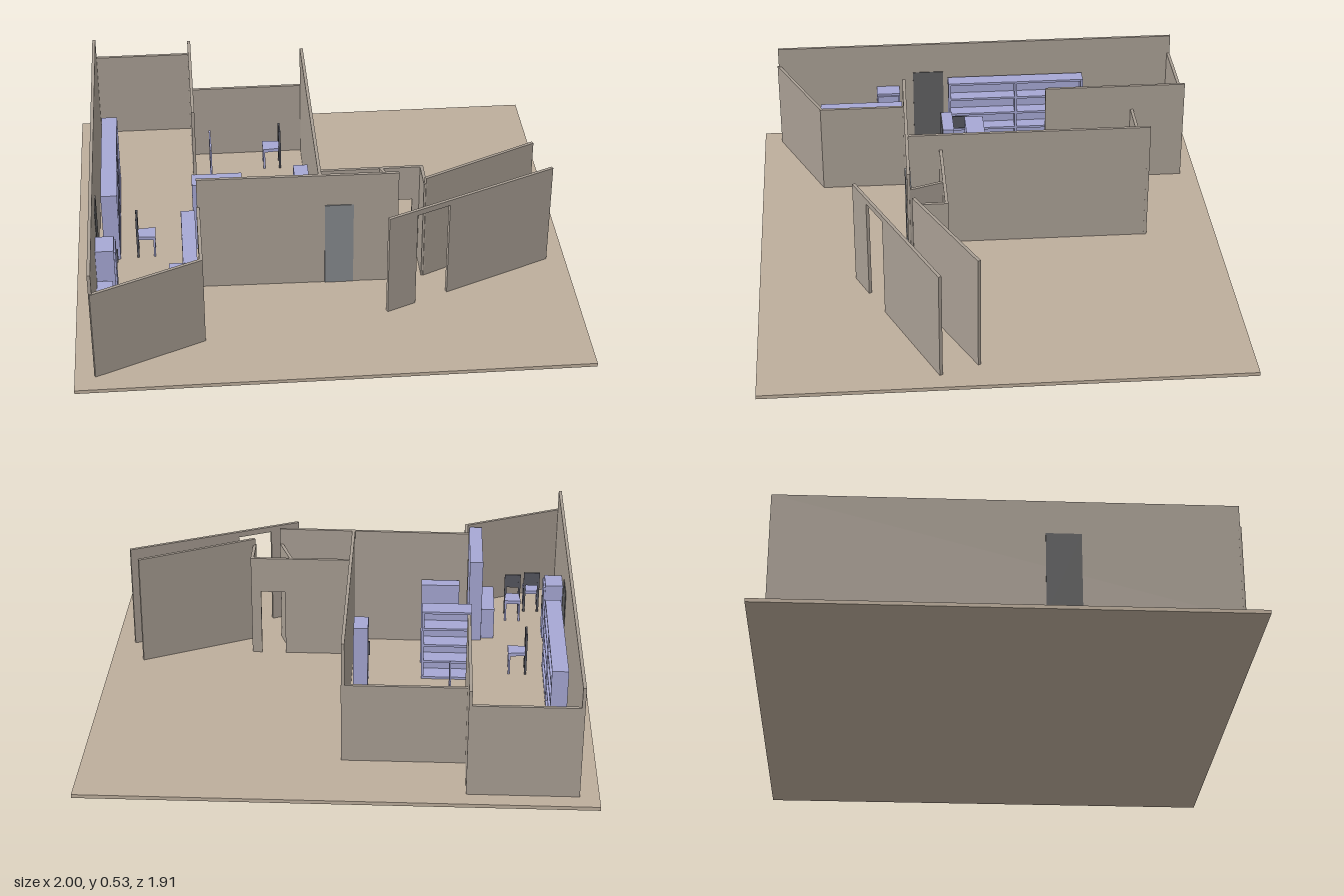
import * as THREE from 'three';

const FLOOR = 0.015;
const mat = (color) => new THREE.MeshStandardMaterial({ color });
const wallMat = mat(0xa99f94), floorMat = mat(0xbdae9c), blueMat = mat(0xa6a8d4);
const darkMat = mat(0x55565f), doorMat = mat(0x85888c), darkDoorMat = mat(0x5f5f60);

// Box given by its lower and upper limits
function box(parent, name, [x0, x1], [y0, y1], [z0, z1], material = blueMat) {
  const m = new THREE.Mesh(new THREE.BoxGeometry(x1 - x0, y1 - y0, z1 - z0), material);
  m.name = name;
  m.position.set((x0 + x1) / 2, (y0 + y1) / 2, (z0 + z1) / 2);
  parent.add(m);
  return m;
}

// Thin wall between two floor points, with an optional doorway [start, end, top]
function wall(parent, name, x0, z0, x1, z1, top, doorway) {
  const T = 0.013, len = Math.hypot(x1 - x0, z1 - z0);
  const s = new THREE.Shape();
  s.moveTo(0, FLOOR);
  if (doorway) {
    const [a, b, h] = doorway;
    s.lineTo(a, FLOOR);
    s.lineTo(a, h);
    s.lineTo(b, h);
    s.lineTo(b, FLOOR);
  }
  s.lineTo(len, FLOOR);
  s.lineTo(len, top);
  s.lineTo(0, top);
  s.closePath();
  const g = new THREE.ExtrudeGeometry(s, { depth: T, bevelEnabled: false });
  g.translate(0, 0, -T / 2);
  const m = new THREE.Mesh(g, wallMat);
  m.name = name;
  m.position.set(x0, 0, z0);
  m.rotation.y = Math.atan2(z0 - z1, x1 - x0);
  parent.add(m);
}

// Open bookshelf, width along local x, open towards local +z
function bookshelf(name, w, d, h, levels, bays) {
  const g = new THREE.Group(), t = 0.01;
  g.name = name;
  box(g, 'shelfBack', [-w / 2, w / 2], [0, h], [-d / 2, -d / 2 + 0.006]);
  for (let i = 0; i <= bays; i++) {
    const x = -w / 2 + (i * (w - t)) / bays;
    box(g, 'shelfUpright', [x, x + t], [0, h], [-d / 2, d / 2]);
  }
  for (let i = 0; i <= levels; i++) {
    const y = (i * (h - t)) / levels;
    box(g, 'shelfBoard', [-w / 2, w / 2], [y, y + t], [-d / 2, d / 2 - 0.001]);
  }
  return g;
}

// Chair facing local +z: tapered seat, four legs, dark posts and a back panel
function chair() {
  const g = new THREE.Group();
  g.name = 'chair';
  const seat = box(g, 'seat', [-0.036, 0.036], [0.085, 0.1], [-0.035, 0.038]);
  const p = seat.geometry.attributes.position;
  for (let i = 0; i < p.count; i++) if (p.getZ(i) < 0) p.setX(i, p.getX(i) * 0.8);
  for (const s of [-1, 1]) {
    const x = s * 0.03;
    box(g, 'frontLeg', [x - 0.004, x + 0.004], [0, 0.085], [0.028, 0.036]);
    box(g, 'backPost', [x - 0.005, x + 0.005], [0, 0.19], [-0.041, -0.032], darkMat);
  }
  box(g, 'backPanel', [-0.034, 0.034], [0.13, 0.19], [-0.04, -0.034], darkMat);
  return g;
}

// Desk with a top, two end panels and a rear panel on the side given by x
function desk(parent, [x0, x1], [z0, z1], rearX) {
  const g = new THREE.Group(), h = FLOOR + 0.14;
  g.name = 'desk';
  box(g, 'deskTop', [x0, x1], [h - 0.012, h], [z0, z1]);
  box(g, 'deskEnd', [x0, x1], [FLOOR, h - 0.012], [z0, z0 + 0.01]);
  box(g, 'deskEnd', [x0, x1], [FLOOR, h - 0.012], [z1 - 0.01, z1]);
  box(g, 'deskRear', [rearX, rearX + 0.006], [FLOOR + 0.04, h - 0.012], [z0 + 0.01, z1 - 0.01]);
  parent.add(g);
}

function place(parent, item, x, z, angle) {
  item.position.set(x, FLOOR, z);
  item.rotation.y = angle;
  parent.add(item);
}

export function createModel() {
  const model = new THREE.Group();
  model.name = 'floorPlan';
  box(model, 'floor', [-1, 1], [0, FLOOR], [-0.955, 0.955], floorMat);

  // Walls
  const walls = new THREE.Group();
  walls.name = 'walls';
  model.add(walls);
  wall(walls, 'westWall', -0.918, 0.873, -0.918, -0.886, 0.488);
  wall(walls, 'northWall', -0.924, -0.88, -0.495, -0.88, 0.402);
  wall(walls, 'partitionWall', -0.501, -0.886, -0.501, -0.28, 0.464);
  wall(walls, 'backWall', -0.5, -0.658, -0.01, -0.658, 0.35);
  wall(walls, 'eastWall', -0.017, -0.664, -0.019, 0.335, 0.53);
  wall(walls, 'middleWall', -0.505, 0.329, 0.293, 0.343, 0.53);
  wall(walls, 'southEastWall', -0.501, 0.33, -0.501, 0.69, 0.402);
  wall(walls, 'southWall', -0.922, 0.873, -0.498, 0.685, 0.402);
  wall(walls, 'porchBackWall', -0.02, 0.199, 0.405, 0.199, 0.46, [0.285, 0.386, 0.305]);
  wall(walls, 'porchSlantWall', 0.237, 0.2, 0.288, 0.342, 0.46);
  wall(walls, 'porchSideWall', 0.401, 0.196, 0.401, 0.332, 0.46);
  wall(walls, 'passageWall', 0.4, 0.328, 0.866, 0.105, 0.488);
  wall(walls, 'entranceWall', 0.23, 0.559, 0.922, 0.255, 0.461, [0.127, 0.274, 0.437]);

  // Door leaves, standing slightly proud of both wall faces
  box(model, 'middleDoor', [0, 0.115], [FLOOR, 0.39], [0.327, 0.349], doorMat);
  box(model, 'westDoor', [-0.928, -0.908], [FLOOR, 0.35], [0.14, 0.275], darkDoorMat);

  // Bookshelves
  place(model, bookshelf('longBookshelf', 0.605, 0.066, 0.315, 4, 2), -0.857, -0.182, Math.PI / 2);
  place(model, bookshelf('middleBookshelf', 0.205, 0.08, 0.315, 4, 1), -0.417, 0.03, Math.PI);
  place(model, bookshelf('tallBookshelf', 0.35, 0.056, 0.375, 4, 2), -0.542, 0.513, -Math.PI / 2);

  // Cabinets with dark panels
  box(model, 'middleCabinet', [-0.467, -0.31], [FLOOR, 0.385], [0.127, 0.172]);
  box(model, 'middleCabinetBack', [-0.467, -0.31], [FLOOR, 0.385], [0.172, 0.177], darkMat);
  box(model, 'eastCabinet', [-0.095, -0.035], [FLOOR, 0.295], [-0.1, 0.004]);
  box(model, 'eastCabinetHandle', [-0.103, -0.095], [0.17, 0.23], [-0.094, -0.086], darkMat);
  box(model, 'westCabinet', [-0.912, -0.838], [FLOOR, 0.285], [0.338, 0.44]);
  box(model, 'westCabinetDoor', [-0.838, -0.831], [FLOOR + 0.015, 0.275], [0.343, 0.435]);
  box(model, 'westCabinetHandle', [-0.831, -0.825], [0.17, 0.23], [0.35, 0.358], darkMat);

  // Desks and the thin upright board
  desk(model, [-0.911, -0.848], [0.458, 0.678], -0.911);
  desk(model, [-0.625, -0.571], [0.36, 0.578], -0.578);
  box(model, 'board', [-0.434, -0.427], [FLOOR, 0.26], [-0.458, -0.295]);

  // Chairs
  place(model, chair(), -0.161, -0.545, -Math.PI / 2);
  place(model, chair(), -0.715, 0.08, Math.PI / 2);
  place(model, chair(), -0.71, 0.56, Math.PI);
  place(model, chair(), -0.795, 0.657, 0);
  return model;
}
